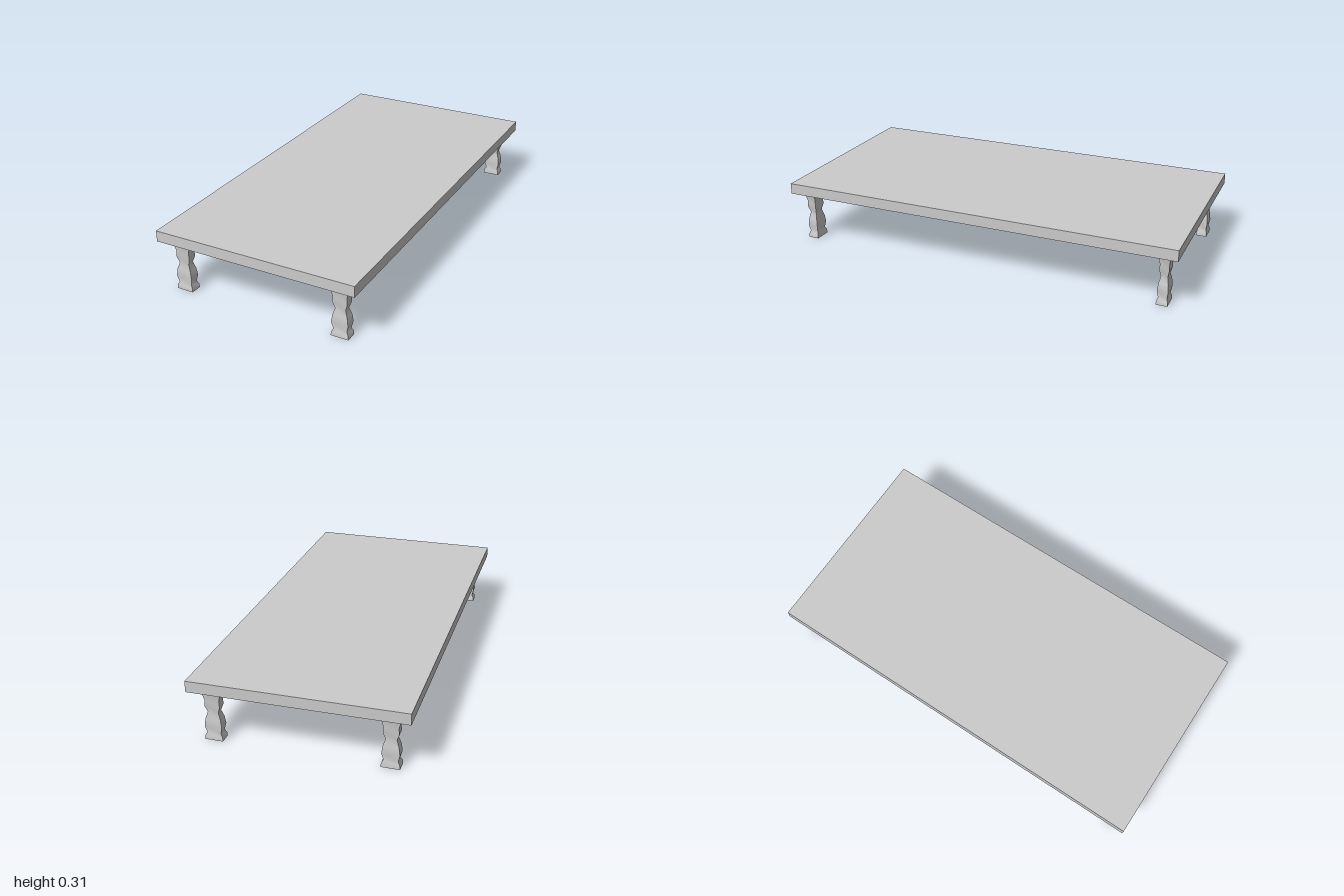
import * as THREE from 'three';
import { toCreasedNormals } from 'three/addons/utils/BufferGeometryUtils.js';

export function createModel() {
  const model = new THREE.Group();
  model.name = 'lowTable';
  const material = new THREE.MeshStandardMaterial({ color: 0xcccccc });

  // Flat slab top
  const legHeight = 0.257, topThickness = 0.054;
  const top = new THREE.Mesh(new THREE.BoxGeometry(1.01, topThickness, 2), material);
  top.name = 'tableTop';
  top.position.y = legHeight + topThickness / 2;
  model.add(top);

  // Turned-style leg with a rectangular section: [half width, height]
  const profile = [
    [0, 0], [0.043, 0], [0.042, 0.018], [0.033, 0.035], [0.041, 0.068], [0.036, 0.105],
    [0.025, 0.138], [0.036, 0.17], [0.034, 0.2], [0.049, legHeight], [0, legHeight],
  ].map(([half, y]) => new THREE.Vector2(half * Math.SQRT2, y));
  const lathe = new THREE.LatheGeometry(profile, 4, Math.PI / 4);
  lathe.scale(1, 1, 0.63);
  const legGeometry = toCreasedNormals(lathe, 0.95);

  // One leg near each corner
  for (const [side, sx] of [['Left', 1], ['Right', -1]]) {
    for (const [end, sz] of [['front', 1], ['back', -1]]) {
      const leg = new THREE.Mesh(legGeometry, material);
      leg.name = `${end}${side}Leg`;
      leg.position.set(sx * 0.408, 0, sz * 0.928);
      model.add(leg);
    }
  }
  return model;
}
